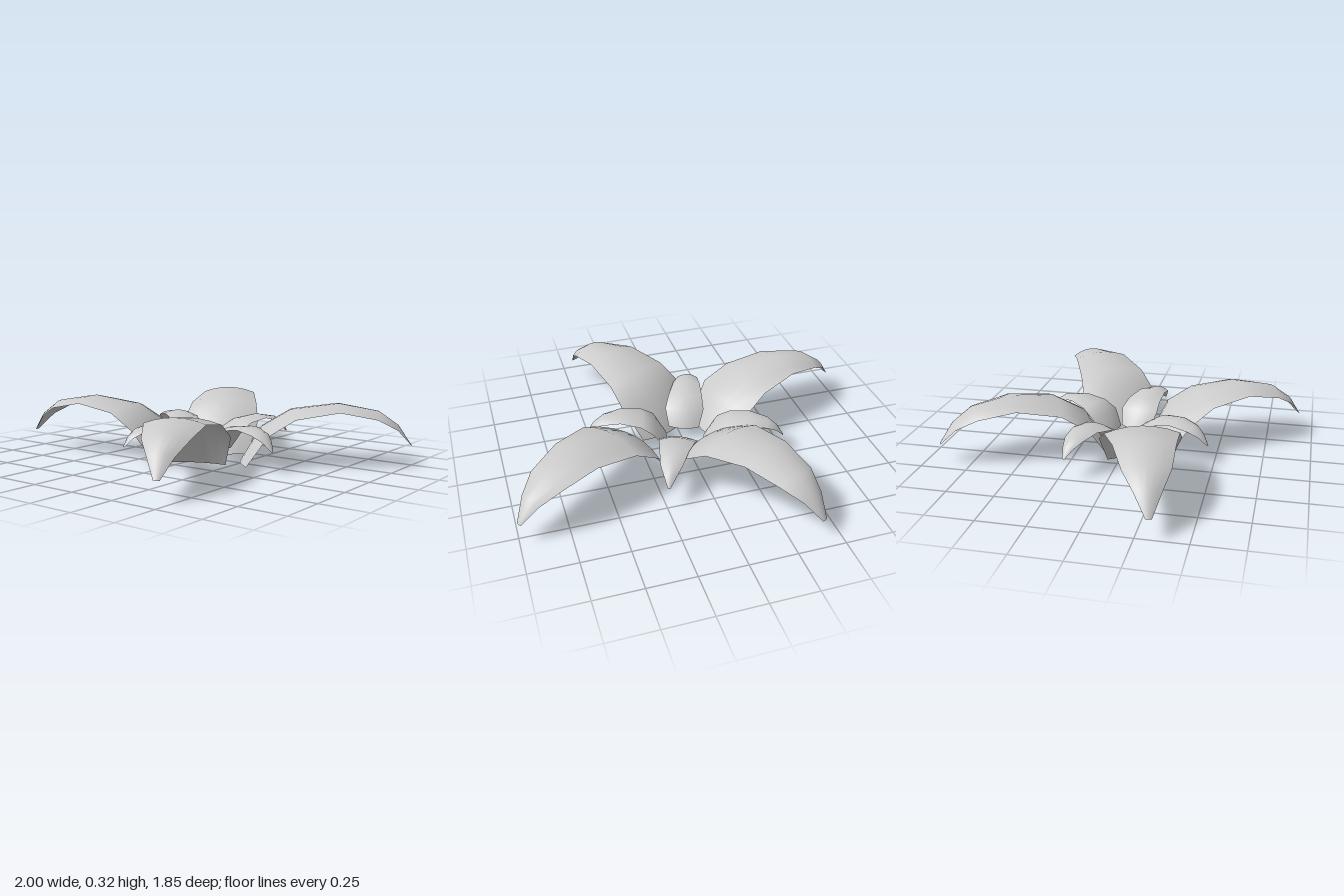
import * as THREE from 'three';

// Leaf cross-sections from base to tip:
// edge distance and height, midrib distance and height, half width
const SECTIONS = [
  [0, 0, -0.04, 0, 0.17],
  [0.11, 0.17, 0.07, 0.19, 0.215],
  [0.245, 0.255, 0.22, 0.285, 0.19],
  [0.465, 0.29, 0.465, 0.32, 0.152],
  [0.655, 0.25, 0.67, 0.283, 0.115],
  [0.76, 0.19, 0.77, 0.21, 0.065],
  [0.84, 0.1, 0.842, 0.1, 0.015],
];
const LENGTH = 0.84;
const ACROSS = 6;

// One arching leaf growing along +z, bulging upward across its width
function leafGeometry() {
  const geometry = new THREE.PlaneGeometry(1, 1, ACROSS, SECTIONS.length - 1);
  const position = geometry.attributes.position;
  for (let i = 0; i < position.count; i++) {
    const [edgeZ, edgeY, midZ, midY, half] = SECTIONS[Math.floor(i / (ACROSS + 1))];
    const t = position.getX(i) * 2;
    const bulge = 1 - t * t;
    position.setXYZ(
      i,
      t * half,
      THREE.MathUtils.lerp(edgeY, midY, bulge),
      THREE.MathUtils.lerp(edgeZ, midZ, bulge)
    );
  }
  geometry.computeVertexNormals();
  return geometry;
}

export function createModel() {
  const model = new THREE.Group();
  model.name = 'leafyPlant';
  const geometry = leafGeometry();
  const material = new THREE.MeshStandardMaterial({ color: 0xcccccc, side: THREE.DoubleSide });

  // Place a leaf by the ground positions of its base and tip
  function addLeaf(name, size, lift, [baseX, baseZ, tipX, tipZ]) {
    const dx = tipX - baseX;
    const dz = tipZ - baseZ;
    const leaf = new THREE.Mesh(geometry, material);
    leaf.name = name;
    leaf.position.set(baseX, lift, baseZ);
    leaf.rotation.y = Math.atan2(dx, dz);
    leaf.scale.set(size, size, Math.hypot(dx, dz) / LENGTH);
    model.add(leaf);
  }

  // Large outer leaves
  const outer = [
    [0.065, 0.17, 0.44, 0.92],
    [0.25, -0.065, 0.99, -0.515],
    [-0.01, -0.15, -0.415, -0.92],
    [-0.17, 0.105, -0.995, 0.315],
  ];
  outer.forEach((spot, i) => addLeaf(`outerLeaf${i + 1}`, 1, 0, spot));

  // Small inner leaves
  const inner = [
    [-0.015, 0.075, -0.165, 0.467],
    [0.12, 0.02, 0.525, 0.122],
    [0.06, -0.1, 0.235, -0.483],
    [-0.1, -0.07, -0.49, -0.222],
  ];
  inner.forEach((spot, i) => addLeaf(`innerLeaf${i + 1}`, 0.5, 0.06, spot));

  return model;
}
